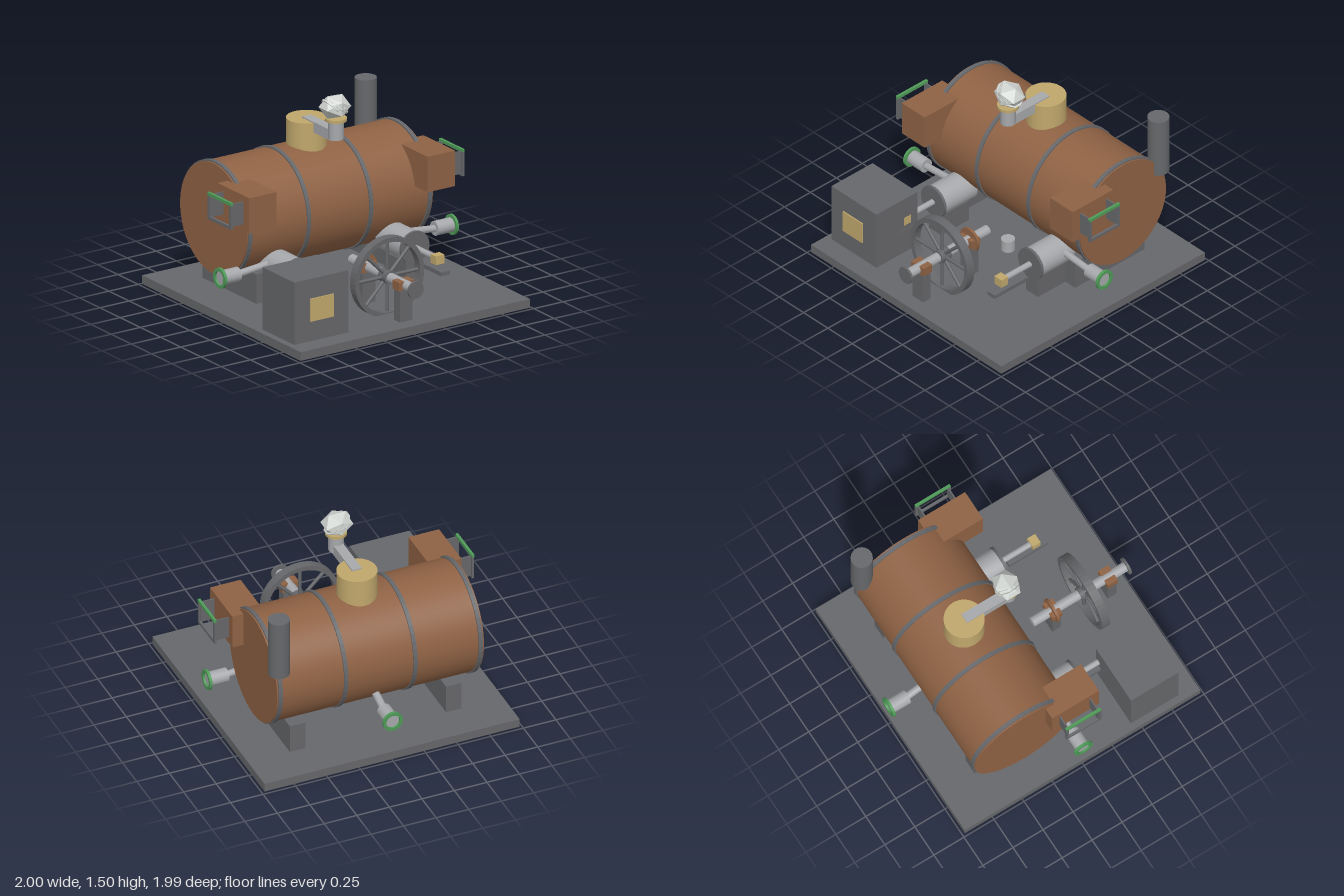
import * as THREE from 'three';

const mat = (name, color, extra = {}) => {
  const m = new THREE.MeshStandardMaterial({ color, ...extra });
  m.name = name;
  return m;
};

export function createModel() {
  const root = new THREE.Group();
  root.name = 'steamEngine';
  const copper = mat('copper', 0x8f6244);
  const iron = mat('iron', 0x66676a);
  const steel = mat('steel', 0xa6a8ab);
  const brass = mat('brass', 0xc0a76c);
  const green = mat('green', 0x4f9a58);
  const pale = mat('paleMetal', 0xd0d4d0, { flatShading: true });

  const add = (name, geo, material, x = 0, y = 0, z = 0, parent = root) => {
    const m = new THREE.Mesh(geo, material);
    m.name = name;
    m.position.set(x, y, z);
    parent.add(m);
    return m;
  };
  // Box given by its limits on each axis
  const box = (name, material, x0, x1, y0, y1, z0, z1) =>
    add(name, new THREE.BoxGeometry(x1 - x0, y1 - y0, z1 - z0), material,
      (x0 + x1) / 2, (y0 + y1) / 2, (z0 + z1) / 2);
  // Cylinder running between two points
  const rod = (name, material, a, b, r, sides = 32) => {
    const p = new THREE.Vector3(...a), q = new THREE.Vector3(...b);
    const d = q.clone().sub(p);
    const m = add(name, new THREE.CylinderGeometry(r, r, d.length(), sides), material);
    m.position.copy(p).add(q).multiplyScalar(0.5);
    m.quaternion.setFromUnitVectors(new THREE.Vector3(0, 1, 0), d.normalize());
    return m;
  };
  // Flat ring around the z axis, starting at z = 0
  const ringGeo = (outer, inner, depth) => {
    const s = new THREE.Shape().absarc(0, 0, outer, 0, Math.PI * 2);
    s.holes.push(new THREE.Path().absarc(0, 0, inner, 0, Math.PI * 2, true));
    return new THREE.ExtrudeGeometry(s, { depth, bevelEnabled: false, curveSegments: 24 })
      .translate(0, 0, -depth / 2);
  };

  // Base plate
  box('base', iron, -0.98, 0.98, 0.005, 0.07, -0.98, 0.98);

  // Boiler with bands
  const by = 0.635, bz = -0.365;
  rod('boiler', copper, [-0.795, by, bz], [0.795, by, bz], 0.413, 64);
  for (const x of [-0.768, -0.267, 0.265, 0.768]) {
    add('boilerBand', ringGeo(0.424, 0.405, 0.03), iron, x, by, bz).rotation.y = Math.PI / 2;
  }
  rod('chimney', iron, [0.762, 0.807, -0.735], [0.762, 1.27, -0.735], 0.078);

  // Steam dome, outlet pipe and faceted valve
  rod('dome', brass, [0, 0.95, bz], [0, 1.235, bz], 0.145, 40);
  box('outletPipe', steel, -0.037, 0.037, 1.165, 1.245, bz, 0);
  rod('valveNeck', steel, [0, 1.18, 0], [0, 1.33, 0], 0.055);
  rod('valveCollar', brass, [0, 1.315, 0], [0, 1.337, 0], 0.078);
  const valve = new THREE.Group();
  valve.name = 'valve';
  valve.position.set(0, 1.415, -0.015);
  root.add(valve);
  add('valveBody', new THREE.IcosahedronGeometry(0.105, 0), pale, 0, 0, 0, valve).scale.set(1.15, 0.9, 1);
  for (const i of [-1, 0, 1]) {
    const fin = add('valveFin', new THREE.CylinderGeometry(0.094, 0.094, 0.012, 10), pale, i * 0.032, 0, 0, valve);
    fin.rotation.z = -0.85;
    fin.scale.set(i ? 0.9 : 1, 1, i ? 0.9 : 1);
  }

  // Parts mirrored on both sides
  for (const s of [-1, 1]) {
    const side = (name, material, x0, x1, ...rest) =>
      box(name, material, Math.min(s * x0, s * x1), Math.max(s * x0, s * x1), ...rest);
    // Side box with open duct frame
    side('sideBox', copper, 0.645, 0.88, 0.705, 0.97, -0.19, 0.2);
    for (const t of [-1, 1]) {
      const z = t * 0.125;
      side('ductWall', iron, 0.88, 0.985, 0.755, 0.925, z - 0.005, z + 0.005);
      side('ductFramePost', iron, 0.98, 0.998, 0.74, 0.92, t * 0.134 - 0.011, t * 0.134 + 0.011);
    }
    side('ductFrameBottom', iron, 0.98, 0.998, 0.74, 0.762, -0.125, 0.125);
    side('ductFrameTop', green, 0.98, 1, 0.917, 0.94, -0.145, 0.145);

    // Boiler saddle and cylinder support
    side('saddle', iron, 0.54, 0.66, 0.07, 0.29, -0.695, -0.03);
    side('cylinderSupport', iron, 0.435, 0.56, 0.07, 0.237, -0.03, 0.235);

    // Steam cylinder, piston rod, guide and crosshead
    const cx = s * 0.5, cy = 0.338;
    rod('steamCylinder', steel, [cx, cy, -0.07], [cx, cy, 0.24], 0.113, 40);
    rod('cylinderCover', iron, [cx, cy, 0.237], [cx, cy, 0.257], 0.122, 40);
    rod('pistonRod', steel, [cx, cy, 0.25], [cx, cy, 0.52], 0.022, 16);
    side('crosshead', brass, 0.463, 0.537, 0.305, 0.37, 0.5, 0.565);
    side('slideGuide', iron, 0.463, 0.537, 0.24, 0.27, 0.305, 0.63);

    // Side pipe with flange
    rod('pipeLink', steel, [s * 0.55, 0.37, 0.01], [s * 0.86, 0.335, 0], 0.026, 12);
    rod('pipe', steel, [s * 0.84, cy, 0], [s * 0.985, cy, 0], 0.053);
    add('pipeFlange', ringGeo(0.075, 0.052, 0.02), green, s * 0.99, cy, 0).rotation.y = Math.PI / 2;
  }

  // Rear pipe with flange
  rod('rearPipeLink', steel, [0, 0.4, -0.66], [0, 0.335, -0.86], 0.028, 12);
  rod('rearPipe', steel, [0, 0.338, -0.84], [0, 0.338, -0.985], 0.053);
  add('rearPipeFlange', ringGeo(0.075, 0.052, 0.02), green, 0, 0.338, -0.99);

  // Drain through the base
  rod('drain', steel, [0, 0.003, 0], [0, 0.16, 0], 0.05);
  add('drainFlange', ringGeo(0.075, 0.05, 0.008), green, 0, 0.004, 0).rotation.x = Math.PI / 2;

  // Control cabinet with plate
  box('cabinet', iron, -0.93, -0.467, 0.07, 0.535, 0.435, 0.83);
  box('cabinetPlate', brass, -0.8, -0.6, 0.22, 0.39, 0.835, 0.844);
  box('plateMount', iron, -0.78, -0.62, 0.24, 0.37, 0.829, 0.836);

  // Crankshaft, bearings and eccentric
  const sy = 0.338;
  rod('shaft', steel, [0, sy, 0.2], [0, sy, 0.98], 0.037);
  rod('shaftFlange', iron, [0, sy, 0.975], [0, sy, 0.992], 0.065);
  for (const z of [0.37, 0.832]) {
    box('bearingPost', iron, -0.055, 0.055, 0.07, 0.305, z - 0.036, z + 0.036);
    box('bearing', copper, -0.065, 0.065, 0.305, 0.37, z - 0.042, z + 0.042);
  }
  rod('eccentric', copper, [0, sy, 0.357], [0, sy, 0.376], 0.092);

  // Flywheel
  const wheel = new THREE.Group();
  wheel.name = 'flywheel';
  wheel.position.set(0, sy, 0.632);
  root.add(wheel);
  add('rim', ringGeo(0.295, 0.26, 0.066), iron, 0, 0, 0, wheel);
  add('hub', new THREE.CylinderGeometry(0.05, 0.05, 0.09, 32), iron, 0, 0, 0, wheel).rotation.x = Math.PI / 2;
  for (let i = 0; i < 4; i++) {
    add('spokePair', new THREE.CylinderGeometry(0.013, 0.013, 0.54, 10), iron, 0, 0, 0, wheel).rotation.z = i * Math.PI / 4;
  }
  return root;
}
